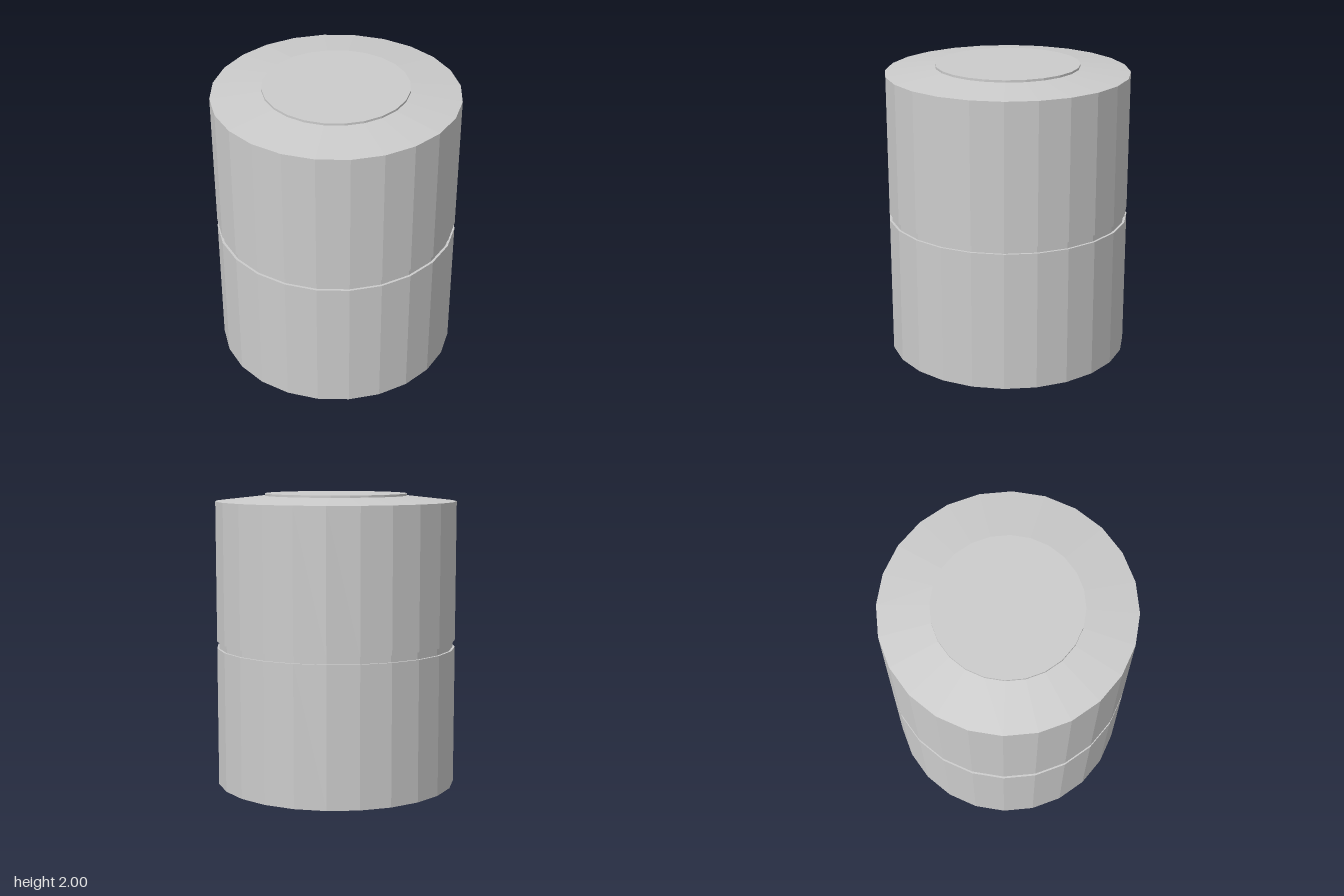
import * as THREE from 'three';

const SIDES = 24;
const grey = new THREE.MeshStandardMaterial({ color: 0xcccccc, flatShading: true });
const greyDouble = new THREE.MeshStandardMaterial({ color: 0xcccccc, flatShading: true, side: THREE.DoubleSide });

// Revolve a list of [radius, height] pairs around the vertical axis
function lathe(name, profile, material = grey) {
  const points = profile.map(([r, y]) => new THREE.Vector2(r, y));
  const mesh = new THREE.Mesh(new THREE.LatheGeometry(points, SIDES), material);
  mesh.name = name;
  return mesh;
}

// Pipe along a smooth path of [x, y, z] points
function pipe(name, path, radius) {
  const curve = new THREE.CatmullRomCurve3(path.map((p) => new THREE.Vector3(...p)));
  const mesh = new THREE.Mesh(new THREE.TubeGeometry(curve, 14, radius, 6), grey);
  mesh.name = name;
  return mesh;
}

// Square bar stretched between two points
function bar(name, from, to, width, height) {
  const a = new THREE.Vector3(...from);
  const b = new THREE.Vector3(...to);
  const mesh = new THREE.Mesh(new THREE.BoxGeometry(width, height, a.distanceTo(b)), grey);
  mesh.position.copy(a).add(b).multiplyScalar(0.5);
  mesh.lookAt(b);
  mesh.name = name;
  return mesh;
}

export function createModel() {
  const model = new THREE.Group();
  model.name = 'rocketStage';
  const ceiling = 0.41;

  // Hull: bay ceiling, inner skirt, outer wall with groove, sloped top and raised cap
  model.add(lathe('hull', [
    [0, ceiling], [0.805, ceiling], [0.81, 0.004], [0.822, 0.004],
    [0.822, 0.952], [0.806, 0.952], [0.806, 1.0], [0.822, 1.0],
    [0.822, 1.948], [0.486, 1.985], [0.486, 2.0], [0, 2.0],
  ]));

  // Engine: mount bowl under the ceiling and an open bell
  const engine = new THREE.Group();
  engine.name = 'engine';
  engine.add(lathe('engineMount', [[0, 0.315], [0.115, 0.32], [0.26, 0.385], [0.26, ceiling]]));
  engine.add(lathe('nozzle', [[0.222, 0], [0.17, 0.16], [0.115, 0.325]], greyDouble));
  model.add(engine);

  // Plumbing and brackets on the bay ceiling
  const plumbing = new THREE.Group();
  plumbing.name = 'plumbing';
  plumbing.rotation.y = THREE.MathUtils.degToRad(140);
  const y = ceiling - 0.02;
  plumbing.add(
    pipe('outerFeedPipe', [[-0.7, y, -0.27], [-0.6, y, -0.16], [-0.45, y, -0.08], [-0.22, y, -0.04]], 0.018),
    pipe('innerFeedPipe', [[-0.54, y, -0.27], [-0.46, y, -0.2], [-0.34, y, -0.24], [-0.14, y, -0.24]], 0.016),
    pipe('returnPipe', [[0.14, y, -0.42], [0.26, y, -0.4], [0.34, y, -0.34], [0.22, y, -0.2]], 0.016),
    pipe('rearPipe', [[0.2, y, 0.08], [0.36, y, 0.05], [0.5, y, 0.14], [0.64, y, 0.1]], 0.018),
    bar('valveBox', [-0.61, y, -0.36], [-0.5, y, -0.29], 0.06, 0.05),
    bar('leftBracket', [-0.36, y, -0.42], [-0.2, y, -0.62], 0.06, 0.04),
    bar('rightBracket', [0.52, y, -0.24], [0.32, y, -0.54], 0.07, 0.05),
    bar('sideBox', [0.46, y, -0.02], [0.58, y, -0.12], 0.07, 0.04),
  );
  model.add(plumbing);

  return model;
}
